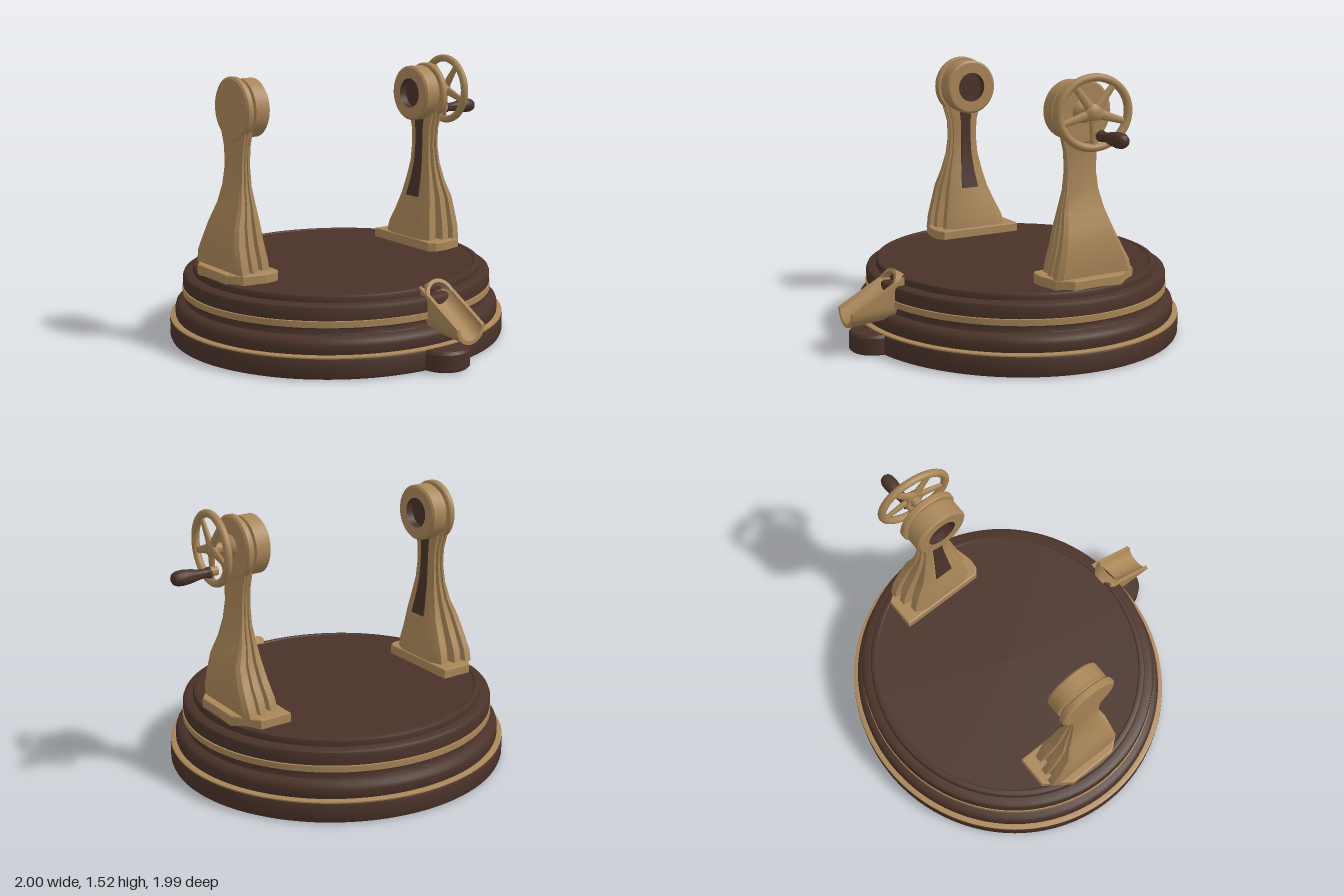
import * as THREE from 'three';
import { toCreasedNormals } from 'three/addons/utils/BufferGeometryUtils.js';

const brass = new THREE.MeshStandardMaterial({ color: 0xa98658 });
const wood = new THREE.MeshStandardMaterial({ color: 0x4a3229 });
const CENTER_X = -0.04;

function add(parent, name, geometry, material, x = 0, y = 0, z = 0) {
  const mesh = new THREE.Mesh(geometry, material);
  mesh.name = name;
  mesh.position.set(x, y, z);
  parent.add(mesh);
  return mesh;
}

// Turned part; profile is [radius, height] from bottom to top
function turned(profile, segments = 48) {
  const pts = profile.map(([r, y]) => new THREE.Vector2(r, y));
  return toCreasedNormals(new THREE.LatheGeometry(pts, segments), 0.6);
}

// Turned part whose axis runs along +x
const turnedX = (profile, segments) => turned(profile, segments).rotateZ(-Math.PI / 2);

// Skin over a list of closed rings with equal point counts
function loft(rings, crease = 0.5) {
  const pos = [];
  const tri = (a, b, c) => {
    const area = new THREE.Triangle(new THREE.Vector3(...a), new THREE.Vector3(...b), new THREE.Vector3(...c)).getArea();
    if (area > 1e-9) pos.push(...a, ...b, ...c);
  };
  for (let i = 0; i < rings.length - 1; i++) {
    const n = rings[i].length;
    for (let j = 0; j < n; j++) {
      const k = (j + 1) % n;
      tri(rings[i][j], rings[i][k], rings[i + 1][k]);
      tri(rings[i][j], rings[i + 1][k], rings[i + 1][j]);
    }
  }
  const g = new THREE.BufferGeometry();
  g.setAttribute('position', new THREE.Float32BufferAttribute(pos, 3));
  return toCreasedNormals(g, crease);
}

// Column sections: height, inner x, outer x, front z, back z
const COLUMN = [
  [0.455, 0.53, 0.765, 0.11, -0.36],
  [0.52, 0.535, 0.77, 0.1, -0.34],
  [0.6, 0.55, 0.765, 0.08, -0.295],
  [0.7, 0.565, 0.75, 0.06, -0.245],
  [0.8, 0.585, 0.71, 0.035, -0.212],
  [0.9, 0.6, 0.69, 0.01, -0.185],
  [1.0, 0.605, 0.678, 0, -0.175],
  [1.1, 0.605, 0.676, 0.005, -0.18],
  [1.2, 0.605, 0.676, 0.035, -0.21],
];

// Half outline of the column: depth from inner to outer face, share of half width
const GROOVED = [[0, 0.55], [0.12, 0.85], [0.3, 0.85], [0.34, 0.72], [0.42, 0.72], [0.46, 0.95],
  [0.62, 0.95], [0.65, 0.85], [0.72, 0.85], [0.75, 1], [0.92, 1], [1, 0.86]];

function columnGeometry(rows, half) {
  const outline = [...half, ...half.map(([u, v]) => [u, -v]).reverse()];
  return loft(rows.map(([y, xi, xo, zf, zb]) =>
    outline.map(([u, v]) => [xi + (xo - xi) * u, y, (zf + zb) / 2 + v * (zf - zb) / 2])));
}

function standard(name) {
  const g = new THREE.Group();
  g.name = name;
  // Chamfered foot plate
  const foot = new THREE.Shape([[0.53, 0.1], [0.56, 0.125], [0.62, 0.13], [0.74, 0.105], [0.8, 0.03],
    [0.8, -0.25], [0.7, -0.39], [0.53, -0.39]].map(([x, z]) => new THREE.Vector2(x, -z)));
  const footGeo = new THREE.ExtrudeGeometry(foot, {
    depth: 0.045, bevelThickness: 0.008, bevelSize: 0.008, bevelSegments: 2 });
  add(g, 'footPlate', footGeo.rotateX(-Math.PI / 2), brass, 0, 0.405, 0);
  // Column with side grooves and a wooden strip on the inner face
  add(g, 'column', columnGeometry(COLUMN, GROOVED), brass);
  add(g, 'columnInlay', columnGeometry(COLUMN.slice(3), [[-0.04, 0.35], [0.05, 0.35]]), wood);
  // Round bearing head
  add(g, 'bearingHead', turnedX([[0.085, 0], [0.145, 0], [0.157, 0.01], [0.157, 0.09], [0.14, 0.095],
    [0.14, 0.11], [0.163, 0.11], [0.17, 0.118], [0.17, 0.142], [0.158, 0.151], [0, 0.151]]), brass, 0.53, 1.31, -0.09);
  add(g, 'bearingSocket', turnedX([[0, 0.045], [0.085, 0.045], [0.085, 0]]), wood, 0.53, 1.31, -0.09);
  return g;
}

function handWheel() {
  const g = new THREE.Group();
  g.name = 'handWheel';
  g.position.set(0.75, 1.32, -0.08);
  g.rotation.y = -0.09;
  g.scale.z = 1.1;
  add(g, 'rim', new THREE.TorusGeometry(0.18, 0.021, 12, 64).rotateY(Math.PI / 2), brass);
  add(g, 'hub', turnedX([[0, -0.02], [0.045, -0.02], [0.045, 0.01], [0.03, 0.022], [0, 0.025]], 24), brass);
  for (let i = 0; i < 5; i++) {
    const spoke = new THREE.CylinderGeometry(0.016, 0.026, 0.15, 12).translate(0, 0.1, 0).scale(0.6, 1, 1);
    add(g, 'spoke', spoke, brass).rotation.x = Math.PI + i * Math.PI * 0.4;
  }
  return g;
}

function base() {
  const g = new THREE.Group();
  g.name = 'base';
  g.position.set(CENTER_X, 0, -0.078);
  g.scale.z = 0.954;
  // Stepped wooden plinth
  add(g, 'plinth', turned([[0, 0], [0.94, 0], [0.953, 0.005], [0.958, 0.018], [0.958, 0.1], [0.952, 0.113],
    [0.92, 0.116], [0.926, 0.13], [0.926, 0.17], [0.92, 0.19], [0.905, 0.205], [0.87, 0.212],
    [0.866, 0.22], [0.866, 0.245], [0.876, 0.25], [0.876, 0.29], [0.88, 0.292], [0.88, 0.345], [0.874, 0.36],
    [0.86, 0.369], [0.822, 0.371], [0.822, 0.395], [0.817, 0.405], [0.805, 0.41], [0.79, 0.41],
    [0.784, 0.405], [0, 0.405]], 96), wood);
  // Brass trims
  add(g, 'lowerTrim', turned([[0.93, 0.11], [0.956, 0.113], [0.956, 0.12], [0.95, 0.123], [0.92, 0.124]], 96), brass);
  add(g, 'upperTrim', turned([[0.87, 0.251], [0.884, 0.254], [0.884, 0.287], [0.87, 0.29]], 96), brass);
  return g;
}

// U-shaped chute cross-section, outer wall then inner wall
function chuteRing(z, rim, inner, outer, capped) {
  const arc = (r, bottom) => {
    const pts = [[-r, rim, z]];
    for (let i = 0; i <= 16; i++) {
      const a = Math.PI * (1 + i / 16);
      pts.push([r * Math.cos(a), Math.min(rim, bottom + r + r * Math.sin(a)), z]);
    }
    return [...pts, [r, rim, z]];
  };
  const inside = arc(0.074, inner);
  return [...(capped ? inside : arc(0.094, outer)), ...inside.slice().reverse()];
}

function spout() {
  const g = new THREE.Group();
  g.name = 'spout';
  g.position.x = 0.02;
  const end = [0.995, 0.25, 0.176, 0.156];
  add(g, 'chute', loft([chuteRing(0.69, 0.41, 0.36, 0.18), chuteRing(0.765, 0.375, 0.315, 0.172),
    chuteRing(...end), chuteRing(...end, true)]), brass);
  // Arched hood over the top of the chute, tipped back
  const hood = new THREE.Shape();
  hood.absarc(0, 0, 0.092, 0, Math.PI, false);
  hood.absarc(0, 0, 0.072, Math.PI, 0, true);
  const hoodGeo = new THREE.ExtrudeGeometry(hood, { depth: 0.06, bevelEnabled: false, curveSegments: 24 });
  const arch = add(g, 'hood', toCreasedNormals(hoodGeo, 0.5), brass, 0, 0.335, 0.71);
  arch.rotation.x = -0.55;
  const back = new THREE.CircleGeometry(0.074, 24, 0, Math.PI);
  const opening = add(g, 'hoodOpening', back, wood, 0, 0.342, 0.722);
  opening.rotation.x = -0.55;
  return g;
}

export function createModel() {
  const model = new THREE.Group();
  model.name = 'displayStand';
  model.add(base());

  // Rounded lobe below the spout
  add(model, 'frontLobe', turned([[0, 0.005], [0.125, 0.005], [0.136, 0.015], [0.136, 0.1], [0.125, 0.115],
    [0, 0.115]]), wood, -0.007, 0, 0.82);
  model.add(spout());

  // Mirrored pair of standards
  for (const side of [1, -1]) {
    const s = standard(side > 0 ? 'leftStandard' : 'rightStandard');
    s.position.x = CENTER_X;
    s.scale.x = side;
    model.add(s);
  }

  // Axle, hand wheel and crank grip
  add(model, 'axle', turnedX([[0.065, 0], [0.06, 0.015], [0.045, 0.03], [0.028, 0.045], [0.028, 0.11]], 24),
    brass, 0.635, 1.315, -0.085);
  model.add(handWheel());
  add(model, 'gripPin', turnedX([[0.024, 0], [0.024, 0.06], [0, 0.06]], 20), brass, 0.735, 1.205, -0.102);
  add(model, 'grip', turnedX([[0, 0], [0.03, 0], [0.03, 0.012], [0.024, 0.022], [0.026, 0.06], [0.036, 0.11],
    [0.041, 0.155], [0.039, 0.19], [0.03, 0.21], [0.014, 0.22], [0, 0.221]], 24), wood, 0.778, 1.203, -0.105);
  return model;
}
